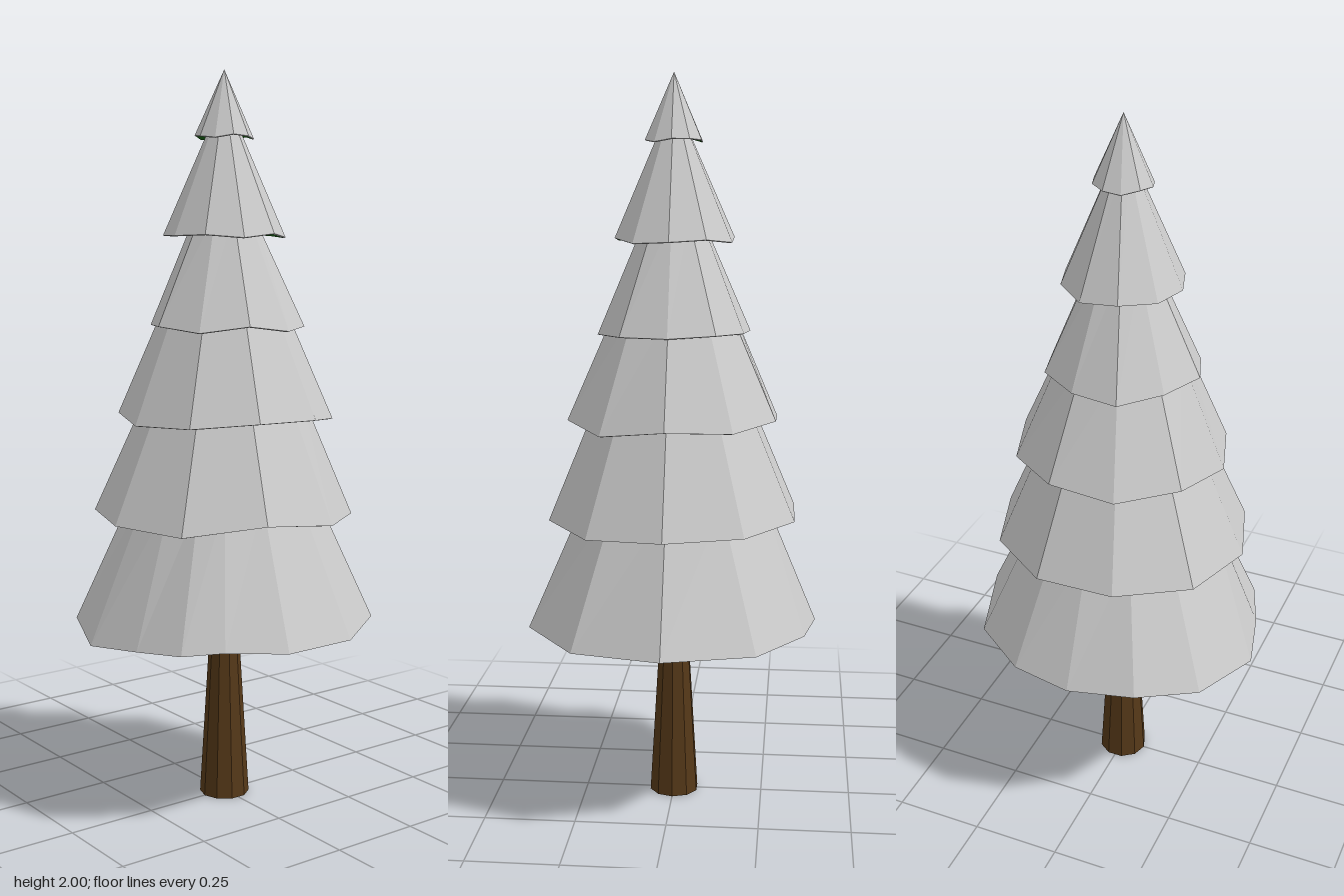
import * as THREE from 'three';

const SLOPE = 0.44; // how fast every tier narrows with height

// Spread ten radii and ten rim offsets evenly around the tree, starting at the back.
const decagon = (radii, drops) => radii.map((r, i) => [i * 36, r, drops[i]]);

// Each tier: rim height, top height, rim corners as [degrees from back, radius, height offset].
const TIERS = [
  { name: 'bottomBranches', y: 0.51, top: 0.88, rim: [
    [0, 0.415, 0.01], [36, 0.412, 0], [72, 0.41, 0], [102, 0.403, 0], [126, 0.394, 0.01],
    [142, 0.406, 0], [162, 0.389, -0.01], [186, 0.412, -0.025], [217, 0.414, -0.005],
    [243, 0.405, 0.015], [270, 0.395, 0.005], [295, 0.403, 0.01], [324, 0.412, 0.005]] },
  { name: 'secondBranches', y: 0.815, top: 1.14, rim: decagon(
    [0.355, 0.352, 0.35, 0.352, 0.358, 0.355, 0.358, 0.348, 0.352, 0.352],
    [0, -0.012, -0.005, 0.018, -0.01, -0.005, 0, 0.005, 0.005, 0]) },
  { name: 'thirdBranches', y: 1.08, top: 1.38, rim: decagon(
    [0.295, 0.297, 0.295, 0.293, 0.292, 0.29, 0.29, 0.295, 0.295, 0.295],
    [0.01, -0.012, 0.005, 0.008, -0.005, -0.01, 0.005, -0.005, 0.01, 0]) },
  { name: 'fourthBranches', y: 1.32, top: 1.62, rim: decagon(
    [0.205, 0.218, 0.21, 0.212, 0.212, 0.215, 0.2, 0.215, 0.202, 0.211],
    [0, 0, -0.005, 0.012, -0.005, 0.008, 0.005, -0.005, 0, 0.005]) },
  { name: 'fifthBranches', y: 1.565, top: 1.87, rim: decagon(
    [0.163, 0.165, 0.162, 0.166, 0.163, 0.162, 0.165, 0.168, 0.167, 0.163],
    [0, -0.005, 0.005, -0.005, 0.003, 0, 0, 0.005, -0.005, 0.005]) },
  { name: 'treeTop', y: 1.825, top: 2, rim: decagon(
    Array(10).fill(0.079), [0.003, -0.005, 0, 0.003, -0.005, 0, 0.004, -0.004, 0, 0.003]) },
];

const point = (deg, r, y) => {
  const a = THREE.MathUtils.degToRad(deg);
  return [r * Math.sin(a), y, -r * Math.cos(a)];
};

// Join successive rings with flat facets.
function loft(rings, material) {
  const pos = [];
  for (let k = 0; k < rings.length - 1; k++) {
    const a = rings[k], b = rings[k + 1], n = a.length;
    for (let i = 0; i < n; i++) {
      const j = (i + 1) % n;
      pos.push(...a[j], ...a[i], ...b[i], ...a[j], ...b[i], ...b[j]);
    }
  }
  const geometry = new THREE.BufferGeometry();
  geometry.setAttribute('position', new THREE.Float32BufferAttribute(pos, 3));
  geometry.computeVertexNormals();
  return new THREE.Mesh(geometry, material);
}

function makeTier({ name, y, top, rim }, snow, needles) {
  const mean = rim.reduce((s, c) => s + c[1], 0) / rim.length;
  const topRadius = Math.max(0, mean - SLOPE * (top - y));
  const isTip = top === 2;
  const ring = (radius, height) => rim.map(([d, r, dy]) => point(d, radius(r), height(dy)));

  const outer = ring(r => r, dy => y + dy);
  const lip = ring(r => r * 0.97, dy => y + dy - 0.002);
  const crown = ring(() => (isTip ? 0 : topRadius), () => top);
  const recess = mean * 0.15;
  const ceiling = ring(() => mean * 0.7, () => y + recess);
  const centre = ring(() => 0, () => y + recess);

  const group = new THREE.Group();
  group.name = name;
  const cover = loft([lip, outer, crown], snow);
  cover.name = 'snowCover';
  const underside = loft([centre, ceiling, lip], needles);
  underside.name = 'needleUnderside';
  group.add(cover, underside);
  return group;
}

export function createModel() {
  const model = new THREE.Group();
  model.name = 'snowyTree';
  const snow = new THREE.MeshStandardMaterial({ color: 0xcccccc, flatShading: true });
  const needles = new THREE.MeshStandardMaterial({ color: 0x14600f, flatShading: true });
  const bark = new THREE.MeshStandardMaterial({ color: 0x553818, flatShading: true });

  // Tapered trunk reaching into the lowest tier
  const trunk = new THREE.Mesh(new THREE.CylinderGeometry(0.033, 0.069, 0.6, 10), bark);
  trunk.name = 'trunk';
  trunk.position.y = 0.3;
  model.add(trunk);

  // Stacked snow-covered tiers
  for (const tier of TIERS) model.add(makeTier(tier, snow, needles));
  return model;
}
